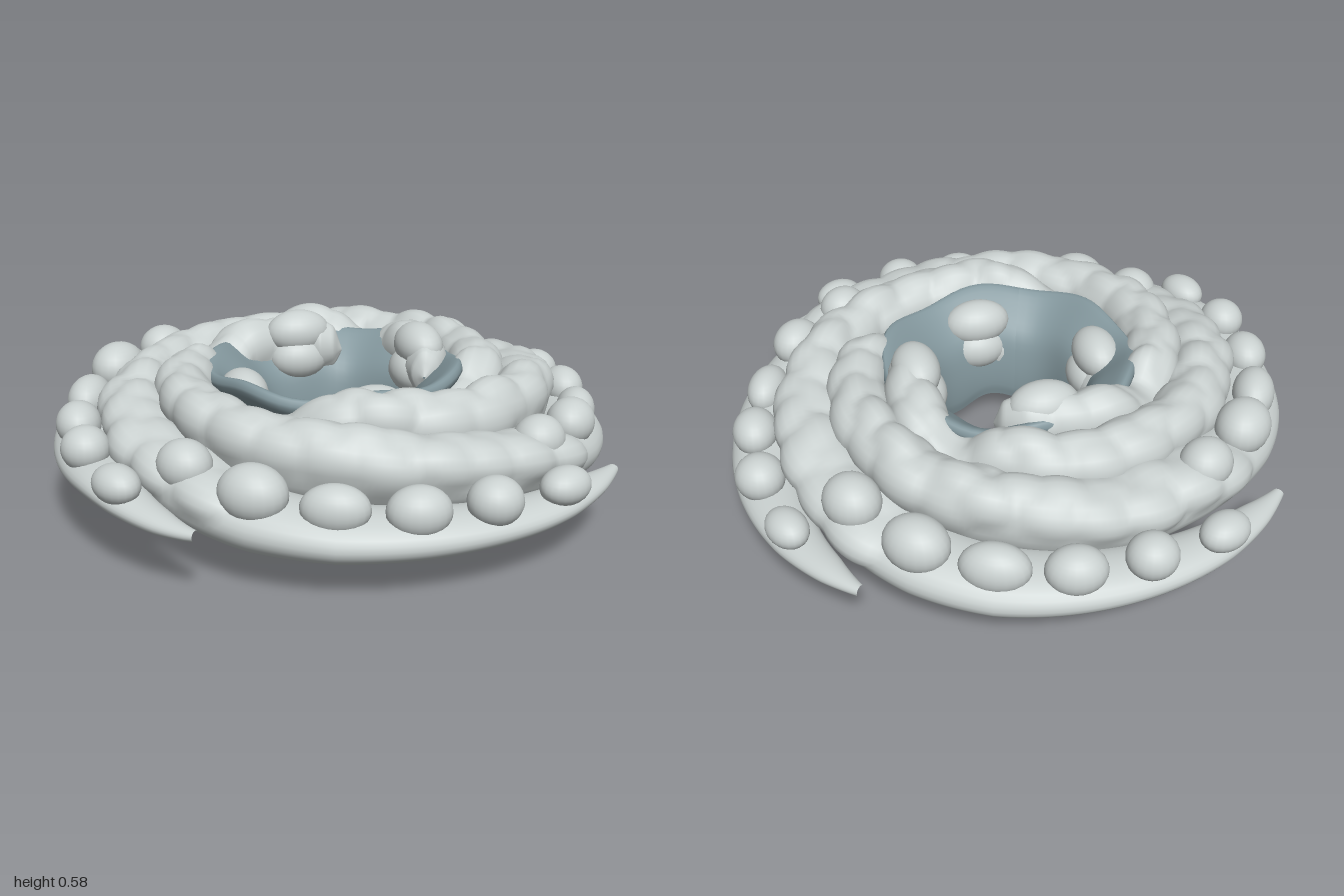
import * as THREE from 'three';

const RAD = Math.PI / 180;
const mat = (name, color) => Object.assign(new THREE.MeshStandardMaterial({ color }), { name });

// spiral arm stations: degrees from tail tip, radius, height, half width, thickness above, thickness below
const ARM = [
  [0, 1.03, 0.22, 0.02, 0.018, 0.018], [8, 1.0, 0.215, 0.055, 0.034, 0.034],
  [19, 0.967, 0.21, 0.085, 0.047, 0.047], [35, 0.92, 0.205, 0.112, 0.06, 0.06],
  [50, 0.882, 0.2, 0.13, 0.075, 0.07], [66, 0.85, 0.2, 0.145, 0.085, 0.078],
  [83, 0.812, 0.22, 0.15, 0.095, 0.095], [110, 0.76, 0.275, 0.13, 0.1, 0.115],
  [155, 0.69, 0.35, 0.1, 0.108, 0.14], [245, 0.515, 0.4, 0.09, 0.11, 0.14],
  [290, 0.43, 0.41, 0.085, 0.11, 0.12], [325, 0.35, 0.42, 0.07, 0.1, 0.11],
  [337, 0.335, 0.42, 0.045, 0.07, 0.07], [342, 0.33, 0.42, 0.004, 0.004, 0.004]
];
const T_END = 342;
// each tail rides at its own height
const LIFT = [-0.015, 0.045, 0, 0];

function station(t) {
  let i = 0;
  while (i < ARM.length - 2 && t > ARM[i + 1][0]) i++;
  const a = ARM[i], b = ARM[i + 1], f = (t - a[0]) / (b[0] - a[0]);
  return a.map((v, n) => v + (b[n] - v) * f);
}

// height change of an arm: tail lift, and the dip where it passes through the eye wall
const isLow = k => k === 1 || k === 2;
const smooth = THREE.MathUtils.smoothstep;
const lift = (k, t) => LIFT[k] * smooth(t, 0, 30) * (1 - smooth(t, 85, 130));
const sink = (k, t) => isLow(k) ? 0.16 * smooth(t, 235, 285) : 0.09 * Math.exp(-(((t - 264) / 11) ** 2));

export function createModel() {
  const model = new THREE.Group();
  model.name = 'spiralStorm';
  const cloud = mat('paleCloud', 0xcad1d0);
  const storm = mat('stormGrey', 0x84989e);
  const rainMat = mat('rainSlate', 0x5c6b72);
  let seed = 7;
  const rnd = () => ((seed = (seed * 16807) % 2147483647) / 2147483647);
  const ball = new THREE.SphereGeometry(1, 22, 16);

  function blob(parent, name, material, pos, size, yaw) {
    const m = new THREE.Mesh(ball, material);
    m.name = name;
    m.position.set(...pos);
    m.scale.set(...size);
    m.rotation.y = yaw;
    parent.add(m);
  }

  // swept arm: smooth underside, billows swelling out of the top and sides
  function armGeometry(k, start) {
    const bumps = [];
    for (let t = 94; t < 336; t += 0.16 / station(t)[1] / RAD) {
      bumps.push([t + rnd() * 5, 0.4 + rnd() * 0.6, 0.2 + rnd() * 0.25]);
      bumps.push([t + 5 + rnd() * 6, 1.4 + rnd() * 0.5, 0.2 + rnd() * 0.25]);
      bumps.push([t + rnd() * 8, 2.3 + rnd() * 0.5, 0.18 + rnd() * 0.2]);
    }
    const N = 228, S = 28, pos = [], idx = [];
    for (let i = 0; i <= N; i++) {
      const t = i / N * T_END, [, r, y, w, top, low] = station(t), th = (start + t) * RAD;
      for (let j = 0; j < S; j++) {
        const a = j / S * Math.PI * 2, ca = Math.cos(a), sa = Math.sin(a);
        let swell = 0;
        for (const [bt, ba, amp] of bumps) {
          const da = Math.atan2(Math.sin(a - ba), Math.cos(a - ba));
          const d = ((t - bt) * RAD * r / 0.12) ** 2 + (da / 0.95) ** 2;
          swell = Math.max(swell, amp * (1 - d));
        }
        const f = 1 + swell, rr = r + w * ca * f;
        pos.push(rr * Math.cos(th), y + lift(k, t) - sink(k, t) + (sa > 0 ? top : low) * sa * f, rr * Math.sin(th));
        if (i < N) {
          const p = i * S + j, q = i * S + (j + 1) % S;
          idx.push(p, q, p + S, q, q + S, p + S);
        }
      }
    }
    const g = new THREE.BufferGeometry();
    g.setAttribute('position', new THREE.Float32BufferAttribute(pos, 3));
    g.setIndex(idx);
    g.computeVertexNormals();
    return g;
  }

  for (let k = 0; k < 4; k++) {
    const arm = new THREE.Group(), start = 21 + 90 * k;
    arm.name = 'spiralArm' + (k + 1);
    const band = new THREE.Mesh(armGeometry(k, start), cloud);
    band.name = 'cloudBand';
    arm.add(band);

    // separate puffs riding on the tail: angle, radius, height, length, half height, half width
    [[19, 1.0, 0.265, 0.09, 0.06, 0.068], [35, 0.955, 0.275, 0.085, 0.075, 0.08],
      [50, 0.92, 0.28, 0.1, 0.08, 0.08], [66, 0.89, 0.285, 0.115, 0.083, 0.075],
      [83, 0.86, 0.315, 0.11, 0.09, 0.09], [101, 0.825, 0.345, 0.1, 0.088, 0.09]
    ].forEach(([t, r, y, l, u, w]) => {
      const th = (start + t) * RAD, s = 0.93 + rnd() * 0.14;
      blob(arm, 'tailPuff', cloud, [r * Math.cos(th), y + lift(k, t) + rnd() * 0.02, r * Math.sin(th)],
        [l * s, u * s, w * s], -th - 1.7);
    });

    // bulging inner end, hanging on the eye wall
    const y = isLow(k) ? 0.37 : 0.465;
    [[313, 0.345, 0.03, 0.125], [312, 0.325, -0.065, 0.115]].forEach(([t, r, dy, l]) => {
      const th = (start + t) * RAD;
      blob(arm, 'innerPuff', cloud, [r * Math.cos(th), y + dy, r * Math.sin(th)], [l, 0.085, 0.085], -th - 1.65);
    });
    model.add(arm);
  }

  // flared eye wall with a wavy rim
  const profile = new THREE.CatmullRomCurve3([
    [0.27, 0.09], [0.305, 0.1], [0.335, 0.24], [0.39, 0.36], [0.46, 0.455], [0.445, 0.488],
    [0.37, 0.44], [0.295, 0.36], [0.265, 0.25], [0.26, 0.14], [0.27, 0.09]
  ].map(([r, y]) => new THREE.Vector3(r, y, 0))).getPoints(40).map(p => new THREE.Vector2(p.x, p.y));
  const wallGeo = new THREE.LatheGeometry(profile, 72);
  const wp = wallGeo.attributes.position;
  for (let i = 0; i < wp.count; i++) {
    const x = wp.getX(i), y = wp.getY(i), z = wp.getZ(i), a = Math.atan2(z, x);
    const f = 1 + 0.012 * Math.sin(7 * a) + 0.01 * Math.sin(4 * a + 1);
    wp.setXYZ(i, x * f, y + 0.014 * Math.sin(6 * a + 0.6), z * f);
  }
  wallGeo.computeVertexNormals();
  const wall = new THREE.Mesh(wallGeo, storm);
  wall.name = 'eyeWall';
  model.add(wall);

  // rain clouds below the arms with thin streaks of rain
  const streak = new THREE.CylinderGeometry(0.003, 0.003, 1, 5);
  for (let i = 0; i < 8; i++) {
    const th = (26.5 + i * 45) * RAD, yaw = -(th + 126 * RAD), group = new THREE.Group();
    group.name = 'rainCloud' + (i + 1);
    const x = 0.62 * Math.cos(th), z = 0.62 * Math.sin(th);
    blob(group, 'rainCloudBody', storm, [x, 0.12, z], [0.185, 0.068, 0.075], yaw);
    for (let n = -1; n <= 1; n++) {
      const d = n * 0.1 + (rnd() - 0.5) * 0.03;
      const low = n === 0 ? 0.002 : 0.01 + rnd() * 0.02, len = 0.1 - low;
      const m = new THREE.Mesh(streak, rainMat);
      m.name = 'rainStreak';
      m.position.set(x + d * Math.cos(yaw), low + len / 2, z - d * Math.sin(yaw));
      m.scale.y = len;
      m.rotation.z = -0.12;
      group.add(m);
    }
    model.add(group);
  }
  return model;
}
